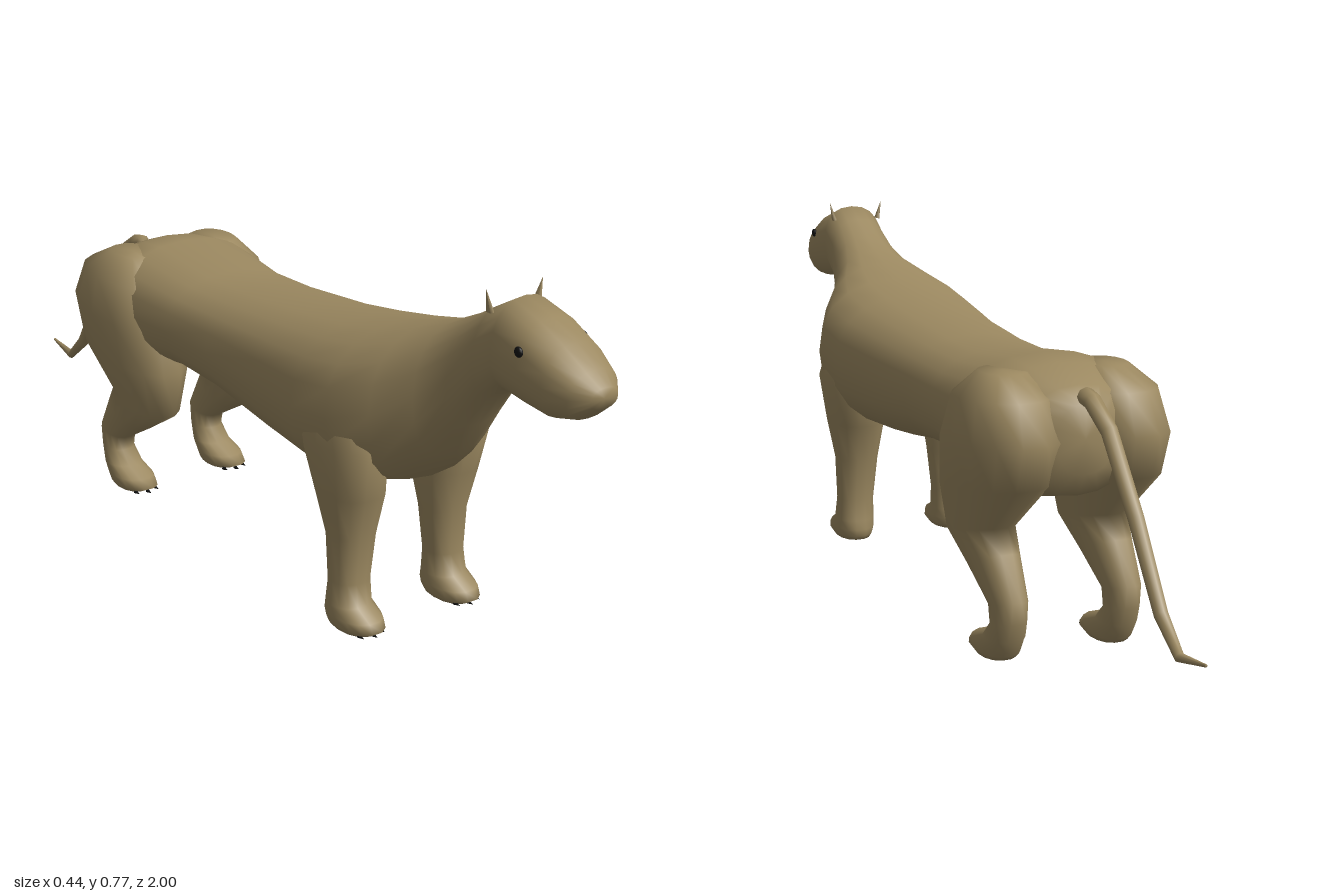
import * as THREE from 'three';

const fur = new THREE.MeshStandardMaterial({ color: 0x9b8860 });
fur.name = 'tan fur';
const black = new THREE.MeshStandardMaterial({ color: 0x111111 });
black.name = 'black';

// Skin over oval rings. Each section is [z1, y1, z2, y2, halfWidth, centreX]:
// two opposite points of the ring in side view, plus its half width.
function loft(sections, sides, power = 1) {
  const pos = [], index = [], n = sections.length;
  const soft = (v) => Math.sign(v) * Math.abs(v) ** power;
  for (const [z1, y1, z2, y2, w, cx = 0] of sections) {
    for (let i = 0; i < sides; i++) {
      const t = (i / sides) * Math.PI * 2;
      const c = soft(Math.cos(t)), s = soft(Math.sin(t));
      pos.push(cx + c * w, (y1 + y2) / 2 + s * (y1 - y2) / 2, (z1 + z2) / 2 + s * (z1 - z2) / 2);
    }
  }
  for (let j = 0; j < n - 1; j++) {
    for (let i = 0; i < sides; i++) {
      const a = j * sides + i, b = j * sides + (i + 1) % sides;
      index.push(a, b, a + sides, b, b + sides, a + sides);
    }
  }
  // end caps
  [0, n - 1].forEach((j) => {
    const [z1, y1, z2, y2, , cx = 0] = sections[j];
    const centre = pos.length / 3;
    pos.push(cx, (y1 + y2) / 2, (z1 + z2) / 2);
    for (let i = 0; i < sides; i++) {
      const a = j * sides + i, b = j * sides + (i + 1) % sides;
      if (j === 0) index.push(centre, b, a);
      else index.push(centre, a, b);
    }
  });
  const g = new THREE.BufferGeometry();
  g.setAttribute('position', new THREE.Float32BufferAttribute(pos, 3));
  g.setIndex(index);
  g.computeVertexNormals();
  return g;
}

// Rump to nose: top point, bottom point, half width
const BODY = [
  [-0.535, 0.53, -0.535, 0.39, 0.06],
  [-0.50, 0.56, -0.50, 0.34, 0.12],
  [-0.42, 0.588, -0.42, 0.32, 0.175],
  [-0.34, 0.595, -0.32, 0.33, 0.19],
  [-0.15, 0.568, -0.17, 0.345, 0.17],
  [0.0, 0.57, 0.0, 0.332, 0.168],
  [0.2, 0.585, 0.2, 0.3, 0.178],
  [0.35, 0.603, 0.35, 0.29, 0.198],
  [0.46, 0.622, 0.47, 0.3, 0.2],
  [0.55, 0.645, 0.55, 0.325, 0.16],
  [0.62, 0.667, 0.62, 0.395, 0.112],
  [0.68, 0.695, 0.68, 0.475, 0.085],
  [0.74, 0.73, 0.73, 0.545, 0.074],
  [0.79, 0.757, 0.78, 0.58, 0.075],
  [0.86, 0.735, 0.85, 0.572, 0.08],
  [0.92, 0.705, 0.91, 0.565, 0.075],
  [0.97, 0.67, 0.96, 0.577, 0.06],
  [0.997, 0.645, 0.995, 0.605, 0.032],
];

// Legs from top to sole: front point, rear point, half width, centre x
const FRONT_LEG = [
  [0.50, 0.52, 0.36, 0.52, 0.045, 0.125],
  [0.545, 0.4, 0.33, 0.4, 0.068, 0.132],
  [0.52, 0.29, 0.37, 0.29, 0.065, 0.12],
  [0.497, 0.2, 0.4, 0.2, 0.05, 0.118],
  [0.49, 0.1, 0.41, 0.1, 0.043, 0.122],
  [0.5, 0.052, 0.405, 0.05, 0.045, 0.124],
  [0.54, 0.033, 0.4, 0.028, 0.048, 0.124],
  [0.55, 0.014, 0.403, 0.012, 0.046, 0.124],
  [0.53, 0.002, 0.41, 0.002, 0.039, 0.124],
];
const HIND_LEG = [
  [-0.33, 0.575, -0.45, 0.578, 0.045, 0.11],
  [-0.26, 0.52, -0.53, 0.54, 0.088, 0.115],
  [-0.22, 0.43, -0.568, 0.46, 0.102, 0.118],
  [-0.205, 0.33, -0.54, 0.37, 0.09, 0.122],
  [-0.22, 0.225, -0.42, 0.265, 0.06, 0.125],
  [-0.32, 0.165, -0.45, 0.22, 0.048, 0.125],
  [-0.41, 0.115, -0.5, 0.135, 0.037, 0.125],
  [-0.42, 0.08, -0.493, 0.088, 0.036, 0.125],
  [-0.39, 0.05, -0.48, 0.048, 0.041, 0.125],
  [-0.335, 0.033, -0.467, 0.026, 0.046, 0.125],
  [-0.315, 0.014, -0.46, 0.012, 0.045, 0.125],
  [-0.34, 0.002, -0.45, 0.002, 0.038, 0.125],
];

// Tail spine: z, y, radius
const TAIL = [
  [-0.53, 0.545, 0.018], [-0.56, 0.54, 0.018], [-0.63, 0.498, 0.017], [-0.74, 0.36, 0.016],
  [-0.84, 0.21, 0.014], [-0.91, 0.153, 0.01], [-1.0, 0.17, 0.003],
];

export function createModel() {
  const model = new THREE.Group();
  const add = (name, geometry, material, x = 0, y = 0, z = 0) => {
    const mesh = new THREE.Mesh(geometry, material);
    mesh.name = name;
    mesh.position.set(x, y, z);
    model.add(mesh);
    return mesh;
  };

  add('bodyAndHead', loft(BODY, 20, 0.85), fur);

  // tail rings stand square to the spine
  const rings = TAIL.map(([z, y, r], i) => {
    const p = TAIL[Math.max(i - 1, 0)], q = TAIL[Math.min(i + 1, TAIL.length - 1)];
    const len = Math.hypot(q[0] - p[0], q[1] - p[1]);
    const vy = (q[0] - p[0]) / len * r, vz = -(q[1] - p[1]) / len * r;
    return [z + vz, y + vy, z - vz, y - vy, r];
  });
  add('tail', loft(rings, 8), fur);

  for (const side of [1, -1]) {
    const label = side > 0 ? 'left' : 'right';
    const mirror = (leg) => leg.map((s) => [...s.slice(0, 5), s[5] * side]);
    add(label + 'FrontLeg', loft(mirror(FRONT_LEG), 14, 0.9), fur);
    add(label + 'HindLeg', loft(mirror(HIND_LEG), 14, 0.9), fur);

    // small pointed ears
    const ear = add(label + 'Ear', new THREE.ConeGeometry(0.011, 0.045, 6), fur, side * 0.062, 0.75, 0.76);
    ear.scale.x = 0.5;
    ear.rotation.z = -side * 0.25;

    // eyes
    const eye = add(label + 'Eye', new THREE.SphereGeometry(0.01, 10, 8), black, side * 0.077, 0.685, 0.86);
    eye.scale.x = 0.6;

    // claws under the toes
    for (const [foot, z] of [['Front', 0.54], ['Hind', -0.32]]) {
      for (const offset of [-0.026, 0, 0.026]) {
        const claw = add(label + foot + 'Claw', new THREE.ConeGeometry(0.005, 0.018, 5), black,
          side * 0.124 + offset, 0.006, z - Math.abs(offset) * 0.4);
        claw.rotation.x = Math.PI / 2;
      }
    }
  }
  return model;
}
